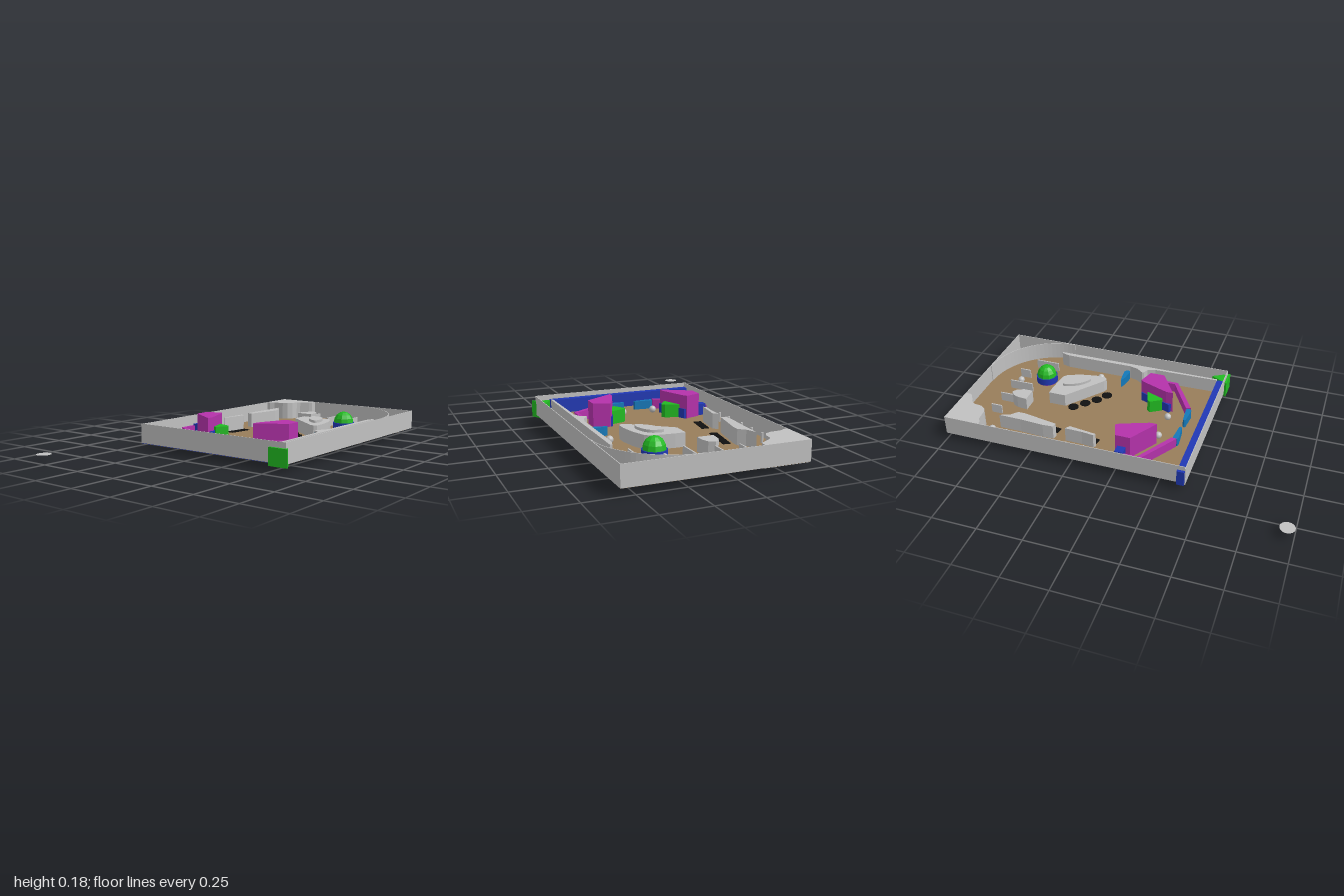
import * as THREE from 'three';

const mat = (name, color) => {
  const m = new THREE.MeshStandardMaterial({ color });
  m.name = name;
  return m;
};

export function createModel() {
  const gray = mat('gray', 0xc0c0c0), wood = mat('wood', 0x987d5a), magenta = mat('magenta', 0xb432aa);
  const green = mat('green', 0x22bb22), blue = mat('blue', 0x2038b4), flipperBlue = mat('flipper blue', 0x1478b8);
  const black = mat('black', 0x101010), disc = mat('disc gray', 0xc0c0c0);
  disc.side = THREE.DoubleSide;
  const model = new THREE.Group();
  model.name = 'pinballTable';

  const add = (name, geo, material, x = 0, y = 0, z = 0) => {
    const m = new THREE.Mesh(geo, material);
    m.name = name;
    m.position.set(x, y, z);
    model.add(m);
    return m;
  };
  // box given by its extents
  const box = (name, material, x0, x1, y0, y1, z0, z1) =>
    add(name, new THREE.BoxGeometry(x1 - x0, y1 - y0, z1 - z0), material, (x0 + x1) / 2, (y0 + y1) / 2, (z0 + z1) / 2);
  // vertical prism over an outline of [x, z] points
  const prism = (name, material, pts, y0, y1) => {
    const shape = new THREE.Shape(pts.map(([x, z]) => new THREE.Vector2(x, -z)));
    const geo = new THREE.ExtrudeGeometry(shape, { depth: y1 - y0, bevelEnabled: false });
    geo.rotateX(-Math.PI / 2);
    return add(name, geo, material, 0, y0, 0);
  };
  // closed outline rounded by a spline
  const round = (pts, n = 40) =>
    new THREE.CatmullRomCurve3(pts.map(([x, z]) => new THREE.Vector3(x, 0, z)), true, 'centripetal')
      .getPoints(n).slice(0, -1).map(p => [p.x, p.z]);

  // playfield and cabinet walls
  box('playfield', wood, -0.39, 0.57, 0.039, 0.045, -0.999, 0.4);
  box('backWall', gray, -0.39, 0.57, 0.04, 0.15, -1, -0.996);
  box('frontWall', gray, -0.405, 0.572, 0.04, 0.15, 0.398, 0.402);
  box('sideWall', gray, -0.394, -0.39, 0.04, 0.15, -1, 0.4);
  box('sideWall', gray, 0.568, 0.572, 0.04, 0.15, -1, 0.4);
  box('frontBar', blue, -0.41, 0.487, 0.036, 0.125, 0.355, 0.396);

  // curved wall around the back corner
  const arc = r => Array.from({ length: 25 }, (_, i) => {
    const a = (i / 24) * Math.PI / 2;
    return [0.168 + r * Math.sin(a), -0.596 - r * Math.cos(a)];
  });
  prism('cornerArc', gray, [...arc(0.4), ...arc(0.396).reverse()], 0.045, 0.15);

  // corner filler and raised islands
  prism('cornerFiller', gray, [[-0.39, -0.998], [-0.14, -0.998], [-0.143, -0.965], [-0.16, -0.95], [-0.21, -0.92],
    [-0.225, -0.9], [-0.23, -0.855], [-0.25, -0.825], [-0.28, -0.812], [-0.345, -0.808], [-0.37, -0.792], [-0.39, -0.79]], 0.037, 0.15);
  prism('centreIsland', gray, [[0.055, -0.56], [0.11, -0.56], [0.24, -0.548], [0.265, -0.525], [0.295, -0.45],
    [0.312, -0.36], [0.312, -0.3], [0.295, -0.285], [0.27, -0.293], [0.055, -0.46]], 0.037, 0.12);
  prism('centreIslandTop', gray, round([[0.15, -0.51], [0.22, -0.5], [0.26, -0.42], [0.25, -0.37], [0.18, -0.42]]), 0.12, 0.135);
  prism('laneIsland', gray, [[-0.05, -0.66], [0.04, -0.66], [0.04, -0.71], [0.025, -0.75], [-0.005, -0.77],
    [-0.032, -0.75], [-0.045, -0.72]], 0.037, 0.12);
  prism('sideIsland', gray, [[-0.255, -0.73], [-0.23, -0.67], [-0.195, -0.64], [-0.195, -0.6], [-0.232, -0.395],
    [-0.262, -0.4], [-0.265, -0.46], [-0.257, -0.6]], 0.037, 0.13);
  prism('sideIslandLower', gray, [[-0.255, -0.33], [-0.228, -0.31], [-0.25, -0.15], [-0.265, -0.16], [-0.257, -0.23]], 0.037, 0.13);
  prism('shooterLaneWall', gray, [[0.478, -0.65], [0.464, -0.6], [0.464, -0.19], [0.45, -0.14], [0.42, -0.1], [0.425, -0.09],
    [0.455, -0.075], [0.472, -0.03], [0.477, 0.355], [0.49, 0.355], [0.49, -0.65]], 0.037, 0.13);

  // thin lane guides and pegs
  for (const [x, z0, z1] of [[-0.13, -0.845, -0.78], [-0.005, -0.845, -0.76], [0.135, -0.85, -0.705],
    [0.27, -0.845, -0.78], [0.397, -0.79, -0.645]])
    box('laneGuide', gray, x - 0.004, x + 0.004, 0.045, 0.1, z0, z1);
  for (const z of [-0.65, -0.545, -0.44, -0.295, -0.19])
    add('peg', new THREE.CylinderGeometry(0.007, 0.007, 0.055, 8), gray, -0.335, 0.0725, z);

  // flat black floor markers
  const squares = [];
  for (let i = 0; i < 5; i++) squares.push([-0.16 - i * 0.006, -0.585 + i * 0.043]);
  for (let i = 0; i < 4; i++) squares.push([-0.195 - i * 0.005, -0.278 + i * 0.036]);
  for (const [x, z] of squares)
    add('squareMarker', new THREE.BoxGeometry(0.042, 0.004, 0.036), black, x, 0.047, z).rotation.y = -0.14;
  for (const [x, z] of [[0.058, -0.41], [0.115, -0.357], [0.17, -0.304], [0.232, -0.262]])
    add('roundMarker', new THREE.CylinderGeometry(0.031, 0.031, 0.004, 20), black, x, 0.047, z);

  // slingshots, guides and lower flippers, mirrored about the centre lane
  for (const flip of [false, true]) {
    const m = pts => flip ? pts.map(([x, z]) => [0.075 - x, z]) : pts;
    prism('slingshot', magenta, m([[-0.285, -0.025], [-0.195, -0.055], [-0.18, -0.035], [-0.12, 0.12],
      [-0.12, 0.16], [-0.285, 0.06]]), 0.004, 0.178);
    prism('slingshotBand', blue, m([[-0.195, -0.05], [-0.18, -0.05], [-0.105, 0.14], [-0.12, 0.15]]), 0.04, 0.1);
    prism('kicker', green, m([[-0.172, -0.01], [-0.09, 0.015], [-0.075, 0.035], [-0.115, 0.098], [-0.13, 0.095]]), 0.005, 0.12);
    prism('outlaneGuide', magenta, m([[-0.345, -0.01], [-0.327, 0.0], [-0.327, 0.115], [-0.11, 0.243],
      [-0.115, 0.272], [-0.345, 0.13]]), 0.04, 0.1);
    prism('guideFoot', magenta, m([[-0.327, 0.115], [-0.11, 0.243], [-0.115, 0.272], [-0.327, 0.141]]), 0.006, 0.04);
    prism('guideFootEnd', gray, m([[-0.345, -0.01], [-0.327, 0.0], [-0.327, 0.141], [-0.345, 0.13]]), 0.006, 0.04);
    // underside plates
    prism('guideSole', gray, m([[-0.345, 0.0], [-0.327, 0.0], [-0.327, 0.115], [-0.11, 0.243],
      [-0.115, 0.272], [-0.345, 0.13]]), 0.004, 0.006);
    prism('slingshotSole', gray, m([[-0.27, -0.015], [-0.2, -0.04], [-0.135, 0.12], [-0.135, 0.14], [-0.27, 0.055]]), 0.002, 0.005);
    prism('flipper', flipperBlue, m([[-0.11, 0.252], [-0.095, 0.248], [0.0, 0.256], [0.006, 0.264], [0.0, 0.272],
      [-0.095, 0.28], [-0.11, 0.275]]), 0.045, 0.095);
  }
  box('outlaneBlock', blue, -0.337, -0.286, 0.045, 0.11, -0.012, 0.036);
  prism('upperFlipper', flipperBlue, [[0.345, -0.212], [0.365, -0.217], [0.45, -0.224], [0.464, -0.215], [0.464, -0.195],
    [0.45, -0.189], [0.38, -0.198]], 0.045, 0.095);

  // domed bumper
  const bx = 0.272, bz = -0.67;
  add('bumperBase', new THREE.CylinderGeometry(0.06, 0.06, 0.03, 20), magenta, bx, 0.04, bz);
  add('bumperRing', new THREE.CylinderGeometry(0.065, 0.065, 0.04, 20), blue, bx, 0.07, bz);
  const dome = new THREE.SphereGeometry(0.06, 10, 4, 0, Math.PI * 2, 0, Math.PI / 2).toNonIndexed();
  dome.scale(1, 1.1, 1);
  dome.computeVertexNormals();
  add('bumperDome', dome, green, bx, 0.09, bz);

  // balls
  for (const [x, z] of [[-0.305, -0.755], [0.205, -0.815], [0.385, -0.355], [-0.07, 0.155], [0.115, 0.155], [0.53, 0.312]])
    add('ball', new THREE.SphereGeometry(0.02, 16, 10), gray, x, 0.065, z);

  // plunger wedge and the loose disc in front
  prism('plunger', green, [[0.532, 0.315], [0.59, 0.415], [0.475, 0.415]], 0.025, 0.12);
  add('looseDisc', new THREE.CircleGeometry(0.04, 32).rotateX(-Math.PI / 2), disc, -0.555, 0.045, 0.96);
  return model;
}
